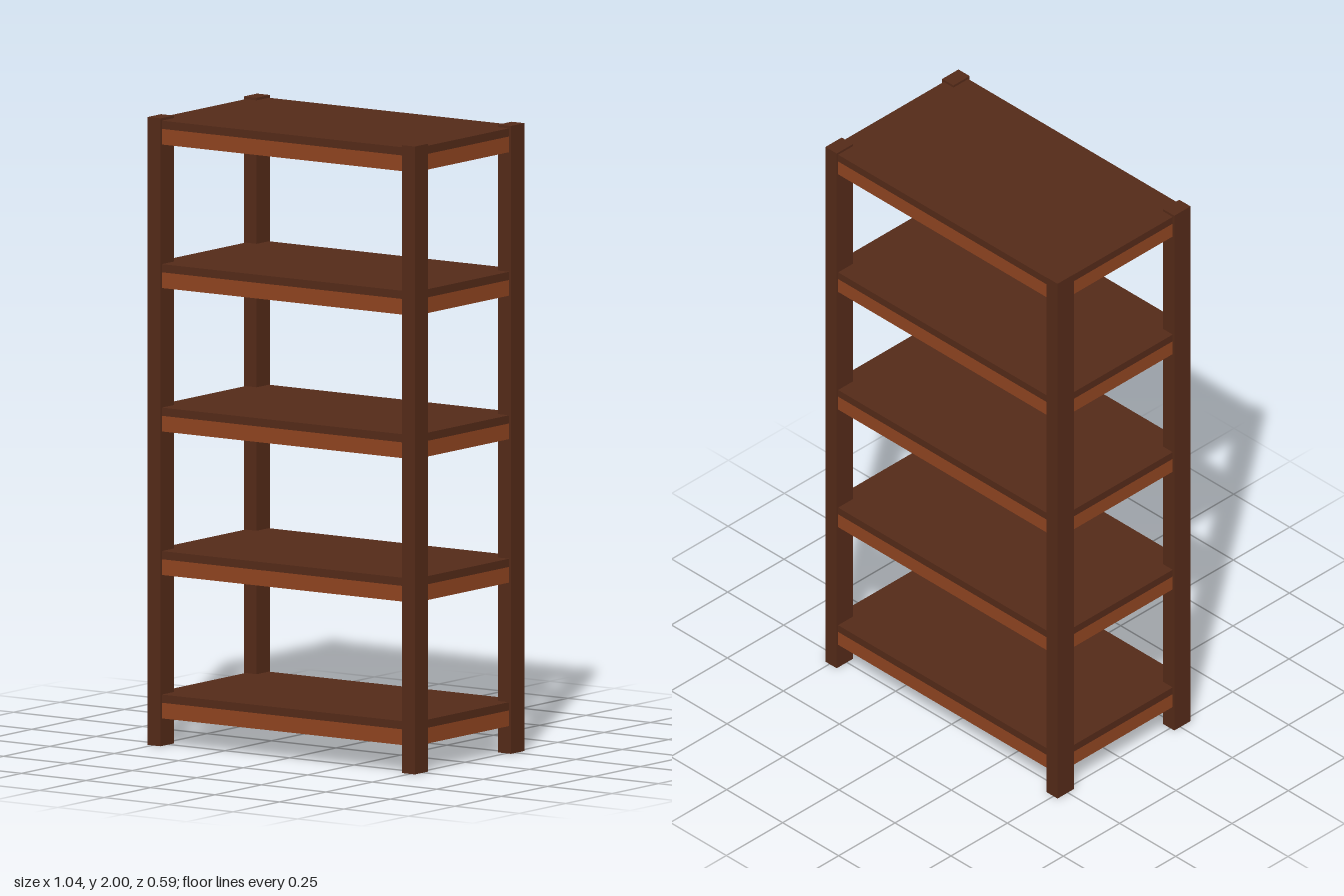
import * as THREE from 'three';

const darkWood = new THREE.MeshStandardMaterial({ color: 0x542a18 });
const lightWood = new THREE.MeshStandardMaterial({ color: 0x8f4420 });

function box(name, material, [w, h, d], [x, y, z]) {
  const mesh = new THREE.Mesh(new THREE.BoxGeometry(w, h, d), material);
  mesh.name = name;
  mesh.position.set(x, y, z);
  return mesh;
}

export function createModel() {
  const model = new THREE.Group();
  model.name = 'shelvingUnit';

  // Four corner posts, running the full height
  const postW = 0.05, postD = 0.072, halfW = 0.518, halfD = 0.295;
  for (const sx of [1, -1]) {
    for (const sz of [1, -1]) {
      const name = `${sz > 0 ? 'front' : 'back'}${sx > 0 ? 'Left' : 'Right'}Post`;
      model.add(box(name, darkWood, [postW, 2, postD],
        [sx * (halfW - postW / 2), 1, sz * (halfD - postD / 2)]));
    }
  }

  // Five evenly spaced shelves: a dark board on a lighter base
  const shelfW = 1.022, shelfD = 0.577, boardH = 0.026, baseH = 0.05;
  for (let i = 0; i < 5; i++) {
    const shelf = new THREE.Group();
    shelf.name = `shelf${i + 1}`;
    shelf.position.y = 0.088 + i * 0.457;
    shelf.add(
      box('shelfBase', lightWood, [shelfW, baseH, shelfD], [0, baseH / 2, 0]),
      box('shelfBoard', darkWood, [shelfW, boardH, shelfD], [0, baseH + boardH / 2, 0]),
    );
    model.add(shelf);
  }
  return model;
}
